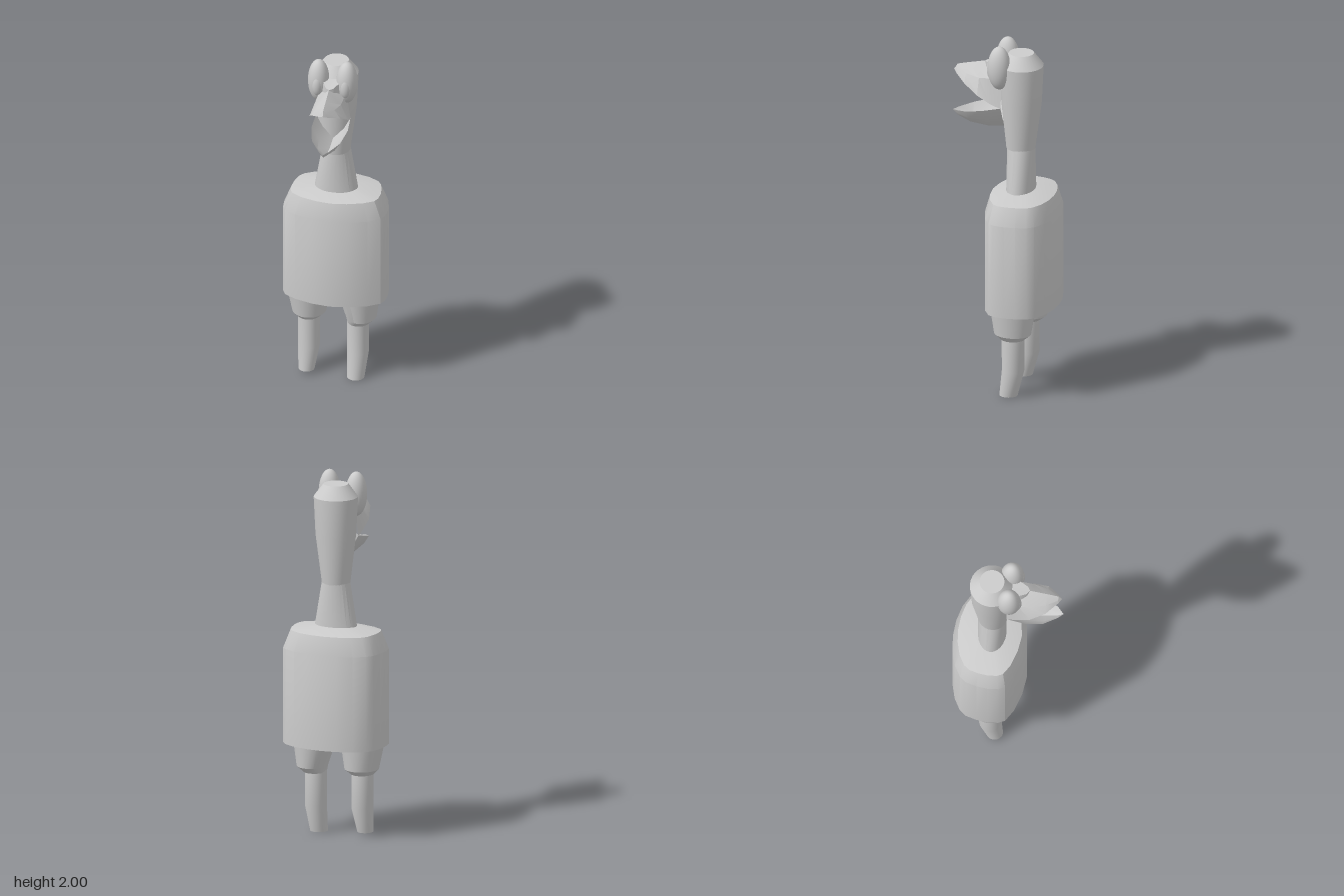
import * as THREE from 'three';
import { toCreasedNormals } from 'three/addons/utils/BufferGeometryUtils.js';

const grey = new THREE.MeshStandardMaterial({ color: 0xcccccc });
const shellGrey = new THREE.MeshStandardMaterial({ color: 0xcccccc, side: THREE.DoubleSide });

// Skin a list of rings (arrays of [x, y, z]), bottom to top; closed rings get end caps
function loft(rings, closed = true) {
  const pos = [];
  const same = (p, q) => Math.hypot(p[0] - q[0], p[1] - q[1], p[2] - q[2]) < 1e-6;
  const tri = (a, b, c) => {
    if (!same(a, b) && !same(b, c) && !same(c, a)) pos.push(...a, ...b, ...c);
  };
  const n = rings[0].length;
  const spans = closed ? n : n - 1;
  for (let i = 0; i < rings.length - 1; i++) {
    for (let j = 0; j < spans; j++) {
      const k = (j + 1) % n;
      const a = rings[i][j], b = rings[i][k], c = rings[i + 1][j], d = rings[i + 1][k];
      tri(a, c, b);
      tri(b, c, d);
    }
  }
  if (closed) {
    const cap = (ring, up) => {
      const m = [0, 1, 2].map((t) => ring.reduce((s, p) => s + p[t], 0) / n);
      ring.forEach((p, j) => {
        const q = ring[(j + 1) % n];
        if (up) tri(m, q, p);
        else tri(m, p, q);
      });
    };
    cap(rings[0], false);
    cap(rings[rings.length - 1], true);
  }
  const g = new THREE.BufferGeometry();
  g.setAttribute('position', new THREE.Float32BufferAttribute(pos, 3));
  g.computeVertexNormals();
  return toCreasedNormals(g, 0.4);
}

// Stacked elliptical sections, bottom to top: [y, centreX, centreZ, radiusX, radiusZ]
function tube(sections, sides = 24) {
  return loft(sections.map(([y, cx, cz, rx, rz]) =>
    Array.from({ length: sides }, (_, j) => {
      const a = (j / sides) * Math.PI * 2;
      return [cx + rx * Math.cos(a), y, cz + rz * Math.sin(a)];
    })));
}

// Beak shell sections: [z, halfWidth, rimY, ridgeY, midWidth, midHeight]
function beak(sections) {
  return loft(sections.map(([z, w, rim, ridge, mw, mh]) => {
    const my = rim + (ridge - rim) * mh;
    return [[-w, rim, z], [-w * mw, my, z], [0, ridge, z], [w * mw, my, z], [w, rim, z]];
  }), false);
}

export function createModel() {
  const model = new THREE.Group();
  const add = (name, geometry, material = grey) => {
    const mesh = new THREE.Mesh(geometry, material);
    mesh.name = name;
    model.add(mesh);
    return mesh;
  };

  // Body: kidney-like outline with a bevelled shoulder
  const half = [[0, 0.1], [0.1, 0.087], [0.2, 0.055], [0.263, 0.015], [0.28, -0.02], [0.285, -0.08],
    [0.278, -0.14], [0.262, -0.2], [0.235, -0.235], [0.17, -0.272], [0.085, -0.295], [0, -0.302]];
  const outline = [...half.slice().reverse(), ...half.slice(1, -1).map(([x, z]) => [-x, z])];
  const bodyRing = (y, s) => outline.map(([x, z]) => [x * s, y, -0.1 + (z + 0.1) * s]);
  add('body', loft([bodyRing(0.51, 1), bodyRing(1.04, 1), bodyRing(1.14, 0.86), bodyRing(1.165, 0.38)]));

  // Neck and head
  add('neck', tube([[1.13, 0, -0.088, 0.122, 0.077], [1.165, 0, -0.088, 0.118, 0.077],
    [1.405, 0, -0.088, 0.077, 0.077]]));
  add('head', tube([[1.4, 0, -0.086, 0.077, 0.079], [1.67, 0, -0.09, 0.11, 0.11],
    [1.88, 0, -0.09, 0.12, 0.12], [1.95, 0, -0.09, 0.067, 0.067]], 32));

  // Gaping beak: two thin shells
  add('upperBeak', beak([
    [0.0, 0.095, 1.645, 1.88, 0.75, 0.7],
    [0.06, 0.1, 1.67, 1.88, 0.72, 0.65],
    [0.13, 0.105, 1.712, 1.876, 0.65, 0.55],
    [0.21, 0.08, 1.765, 1.858, 0.6, 0.5],
    [0.272, 0.025, 1.798, 1.842, 0.6, 0.5],
    [0.292, 0, 1.81, 1.81, 0.6, 0.5]]), shellGrey);
  add('lowerBeak', beak([
    [0.0, 0.095, 1.648, 1.515, 0.6, 0.55],
    [0.1, 0.1, 1.625, 1.503, 0.6, 0.55],
    [0.2, 0.078, 1.6, 1.514, 0.6, 0.55],
    [0.27, 0.03, 1.583, 1.545, 0.6, 0.5],
    [0.3, 0, 1.574, 1.574, 0.6, 0.5]]), shellGrey);

  // Bridge between the eyes, sloping down to a rounded point on the beak
  const bridge = (y, s) => [[0.06, -0.06], [0.05, 0.06], [0.025, 0.103], [0, 0.117],
    [-0.025, 0.103], [-0.05, 0.06], [-0.06, -0.06]].map(([x, z]) => [x * s, y - Math.max(z, 0) * 0.2, z]);
  add('noseBridge', loft([bridge(1.83, 1), bridge(1.902, 0.85)]));

  // Tall eyes with raised pupils
  for (const [side, name] of [[1, 'left'], [-1, 'right']]) {
    const eye = add(name + 'Eye', new THREE.SphereGeometry(1, 32, 20));
    eye.scale.set(0.058, 0.123, 0.063);
    eye.position.set(side * 0.078, 1.877, 0.012);
    const pupil = add(name + 'Pupil', new THREE.SphereGeometry(1, 20, 14));
    pupil.scale.set(0.03, 0.065, 0.03);
    pupil.position.set(side * 0.078, 1.865, 0.051);
  }

  // Legs: wide thigh tucked in at the knee, shin bending forward at the bottom
  add('leftThigh', tube([[0.335, 0.125, -0.079, 0.063, 0.068], [0.37, 0.139, -0.083, 0.083, 0.102],
    [0.53, 0.125, -0.08, 0.12, 0.127]]));
  add('leftShin', tube([[0, 0.113, -0.052, 0.048, 0.05], [0.15, 0.12, -0.08, 0.06, 0.061],
    [0.36, 0.12, -0.079, 0.06, 0.062]]));
  add('rightThigh', tube([[0.347, -0.15, -0.079, 0.063, 0.068], [0.377, -0.148, -0.083, 0.093, 0.102],
    [0.53, -0.152, -0.08, 0.12, 0.127]]));
  add('rightShin', tube([[0.02, -0.158, -0.056, 0.044, 0.046], [0.16, -0.15, -0.08, 0.06, 0.061],
    [0.37, -0.15, -0.079, 0.06, 0.062]]));

  return model;
}
